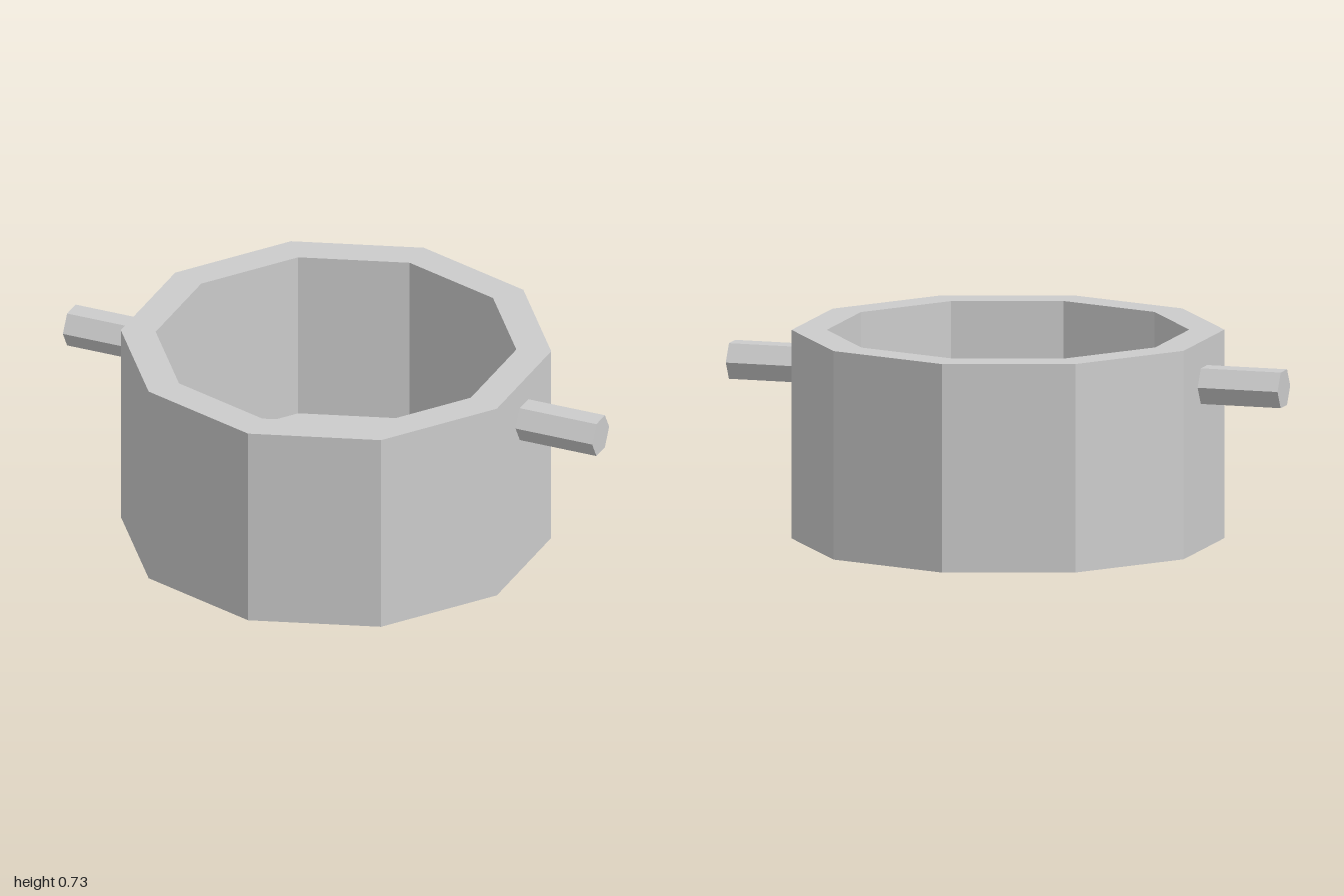
import * as THREE from 'three';

// Hard-edged facets
function faceted(geometry) {
  const g = geometry.toNonIndexed();
  g.computeVertexNormals();
  return g;
}

export function createModel() {
  const group = new THREE.Group();
  group.name = 'pot';

  const grey = new THREE.MeshStandardMaterial({ color: 0xcccccc });
  grey.name = 'light grey';

  // Ten-sided vessel: underside, outer wall, rim, inner wall, floor
  const outer = 0.747, inner = 0.626, height = 0.73, floor = 0.12;
  const profile = [
    [0, 0], [outer, 0], [outer, height],
    [inner, height], [inner, floor], [0, floor],
  ].map(([x, y]) => new THREE.Vector2(x, y));
  const body = new THREE.Mesh(faceted(new THREE.LatheGeometry(profile, 10)), grey);
  body.name = 'body';
  group.add(body);

  // Hexagonal peg handles, rooted inside the wall
  const root = 0.66, tip = 1;
  for (const [side, name] of [[1, 'leftHandle'], [-1, 'rightHandle']]) {
    const geometry = faceted(new THREE.CylinderGeometry(0.072, 0.072, tip - root, 6));
    geometry.rotateZ(-side * Math.PI / 2);
    const handle = new THREE.Mesh(geometry, grey);
    handle.position.set(side * (root + tip) / 2, 0.575, 0);
    handle.name = name;
    group.add(handle);
  }

  return group;
}
